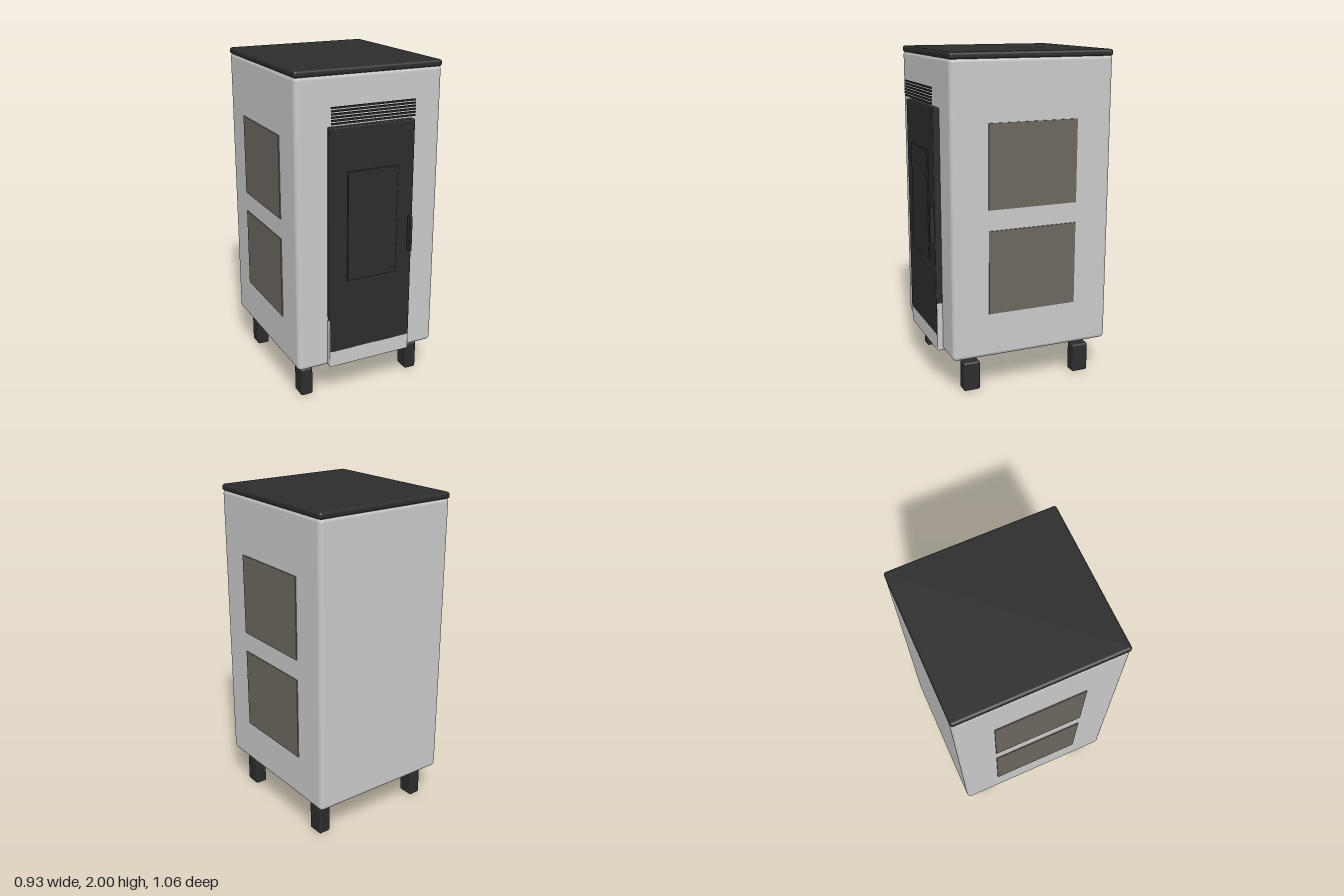
import * as THREE from 'three';
import { RoundedBoxGeometry } from 'three/addons/geometries/RoundedBoxGeometry.js';

export function createModel() {
  const model = new THREE.Group();
  model.name = 'stove';

  const material = (name, color) => {
    const m = new THREE.MeshStandardMaterial({ color });
    m.name = name;
    return m;
  };
  const grey = material('light grey enamel', 0xc9c9c9);
  const black = material('black metal', 0x2c2c2c);
  const taupe = material('taupe side panel', 0x6c665e);

  // Box from its lower and upper limits; radius 0 keeps sharp edges
  const box = (name, mat, [x0, x1], [y0, y1], [z0, z1], radius = 0) => {
    const size = [x1 - x0, y1 - y0, z1 - z0];
    const geometry = radius
      ? new RoundedBoxGeometry(...size, 4, radius)
      : new THREE.BoxGeometry(...size);
    const mesh = new THREE.Mesh(geometry, mat);
    mesh.name = name;
    mesh.position.set((x0 + x1) / 2, (y0 + y1) / 2, (z0 + z1) / 2);
    model.add(mesh);
  };

  // Cabinet and lid
  box('body', grey, [-0.458, 0.458], [0.225, 1.972], [-0.53, 0.467], 0.028);
  box('topPlate', black, [-0.459, 0.459], [1.96, 2], [-0.531, 0.468], 0.016);

  // Door, glass, handle and the plinth below
  box('door', black, [-0.267, 0.267], [0.328, 1.685], [0.45, 0.504], 0.006);
  box('plinth', grey, [-0.268, 0.268], [0.228, 0.53], [0.45, 0.502], 0.006);
  box('doorWindow', black, [-0.16, 0.16], [0.775, 1.43], [0.5, 0.512], 0.002);
  box('handle', black, [0.236, 0.256], [0.895, 1.11], [0.5, 0.531], 0.004);

  // Air grille slats above the door
  for (let i = 0; i < 6; i++) {
    const y = 1.71 + i * 0.0175;
    box('grilleSlat', black, [-0.264, 0.261], [y - 0.005, y + 0.005], [0.504, 0.513]);
  }

  for (const side of [-1, 1]) {
    // Two inset panels on each side
    const px = side > 0 ? [0.456, 0.464] : [-0.464, -0.456];
    box('lowerSidePanel', taupe, px, [0.495, 0.995], [-0.305, 0.245]);
    box('upperSidePanel', taupe, px, [1.118, 1.612], [-0.305, 0.245]);

    // Feet
    const fx = side > 0 ? [0.328, 0.405] : [-0.405, -0.328];
    box('frontFoot', black, fx, [0, 0.182], [0.28, 0.384], 0.013);
    box('backFoot', black, fx, [0, 0.182], [-0.442, -0.338], 0.013);
  }

  return model;
}
